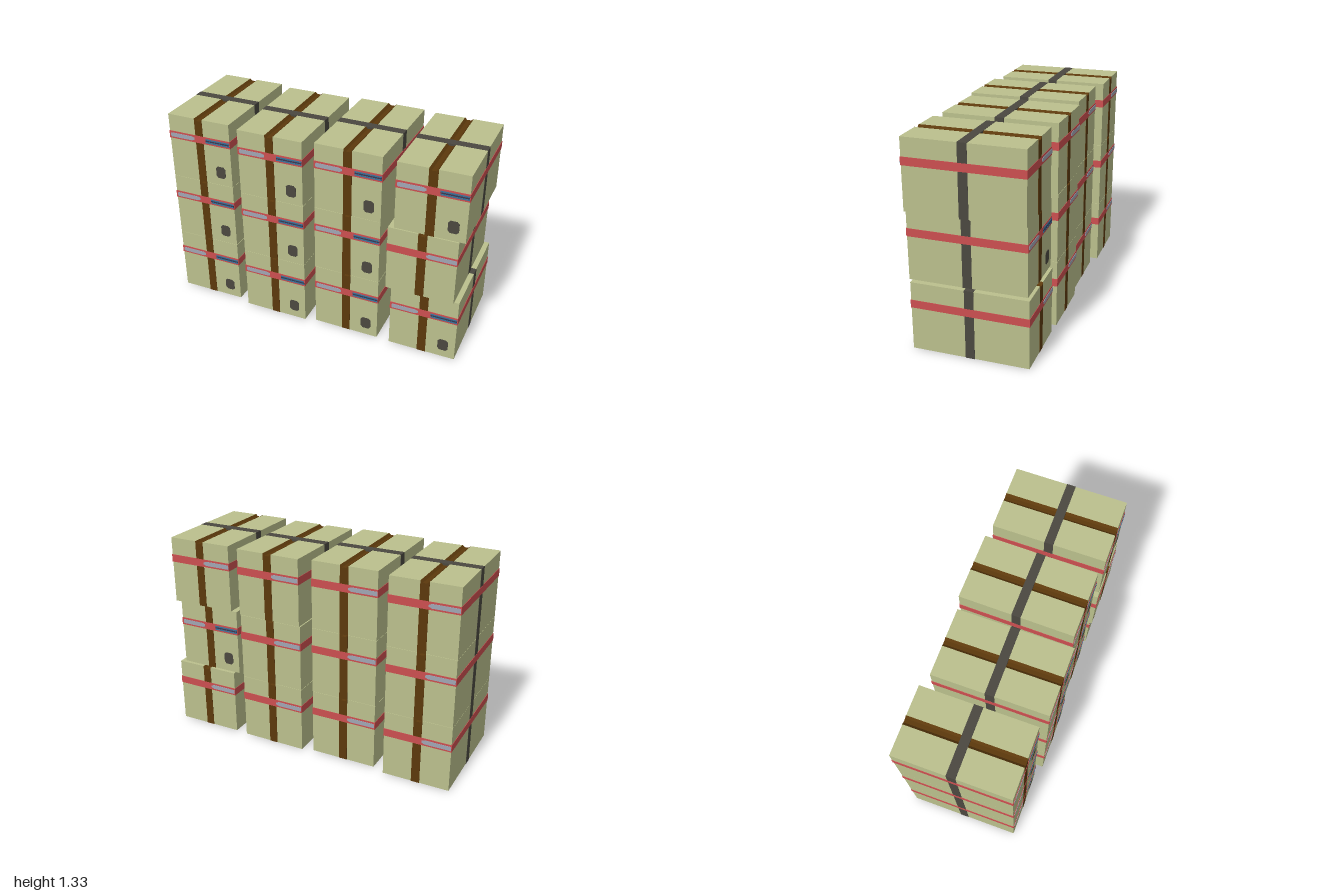
import * as THREE from 'three';

const W = 0.438, H = 0.441, D = 0.733;

function material(name, color) {
  const m = new THREE.MeshStandardMaterial({ color });
  m.name = name;
  return m;
}

function polygon(points) {
  return new THREE.Shape(points.map(([x, y]) => new THREE.Vector2(x, y)));
}

function extrude(shape, depth) {
  const g = new THREE.ExtrudeGeometry(shape, { depth, bevelEnabled: false, curveSegments: 4 });
  return g.translate(0, 0, -depth / 2);
}

// Rectangle with cut corners
function chamfered(w, h, c) {
  const a = w / 2, b = h / 2;
  return polygon([[-a + c, -b], [a - c, -b], [a, -b + c], [a, b - c],
    [a - c, b], [-a + c, b], [-a, b - c], [-a, -b + c]]);
}

export function createModel() {
  const mats = {
    cloth: material('paleOlive', 0xbbc08d),
    brown: material('brownStrap', 0x5c390c),
    dark: material('darkGrey', 0x4b4840),
    red: material('redBand', 0xcc4f50),
    grey: material('lightGrey', 0xa0a6b4),
    blue: material('blueStripe', 0x36739c),
    navy: material('navyStripe', 0x333a55),
  };

  // Groove pressed into the top by the strap
  const s = 0.028, f = 0.013, dip = 0.014;
  const groove = [[s, H], [f, H - dip], [-f, H - dip], [-s, H]];
  const geo = {
    body: extrude(polygon([[-W / 2, 0], [W / 2, 0], [W / 2, H], ...groove, [-W / 2, H]]), D),
    // Long strap: end-to-end profile that shows on front, top, back and bottom
    strap: extrude(polygon([[-s, -0.001], [s, -0.001], [s, H + 0.001],
      [f, H - dip + 0.002], [-f, H - dip + 0.002], [-s, H + 0.001]]), D + 0.003),
    cross: new THREE.BoxGeometry(W + 0.003, H + 0.003, 0.058),
    band: new THREE.BoxGeometry(W + 0.006, 0.05, D + 0.006),
    patch: extrude(chamfered(0.068, 0.082, 0.014), 0.004),
    frontLabel: extrude(polygon([[-0.205, -0.014], [-0.055, -0.014], [-0.035, -0.007],
      [-0.035, 0.007], [-0.055, 0.014], [-0.205, 0.014], [-0.21, 0.008], [-0.21, -0.008]]), 0.003),
    backLabel: extrude(polygon([[0.05, -0.014], [0.218, -0.014], [0.218, 0.014],
      [0.05, 0.014], [0.03, 0.006], [0.03, -0.006]]), 0.003),
    stripe: new THREE.BoxGeometry(0.17, 0.008, 0.003),
  };

  function bale(x, y, z, turn) {
    const g = new THREE.Group();
    g.name = 'bale';
    const add = (name, geometry, mat, px = 0, py = 0, pz = 0) => {
      const m = new THREE.Mesh(geometry, mat);
      m.name = name;
      m.position.set(px, py, pz);
      g.add(m);
      return m;
    };
    const bandY = 0.301, face = D / 2 + 0.004;
    add('body', geo.body, mats.cloth);
    add('longStrap', geo.strap, mats.brown);
    add('crossStrap', geo.cross, mats.dark, 0, H / 2);
    add('redBand', geo.band, mats.red, 0, bandY);
    // Front details
    add('frontPatch', geo.patch, mats.dark, 0.14, 0.092, D / 2);
    add('frontLabel', geo.frontLabel, mats.grey, 0, bandY, face);
    for (const [dy, mat] of [[0.01, mats.blue], [0, mats.navy], [-0.01, mats.blue]]) {
      add('frontStripe', geo.stripe, mat, 0.133, bandY + dy, face);
    }
    // Back label
    add('backLabel', geo.backLabel, mats.grey, 0, bandY, -face).rotation.y = Math.PI;
    g.position.set(x, y, z);
    g.rotation.y = turn;
    return g;
  }

  // Four stacks of three: [x, z, turn] from bottom to top
  const stacks = [
    [[-0.779, -0.022, 0], [-0.779, -0.022, 0], [-0.779, -0.022, 0]],
    [[-0.261, 0.013, 0], [-0.261, 0.013, 0], [-0.261, 0.013, 0]],
    [[0.248, -0.008, -0.006], [0.248, -0.008, -0.008], [0.252, -0.008, -0.014]],
    [[0.772, 0, 0], [0.74, 0.02, Math.PI], [0.776, 0.014, 0]],
  ];
  const model = new THREE.Group();
  model.name = 'stackedBales';
  for (const stack of stacks) {
    stack.forEach(([x, z, turn], row) => model.add(bale(x, row * 0.443 + 0.001, z, turn)));
  }
  return model;
}
